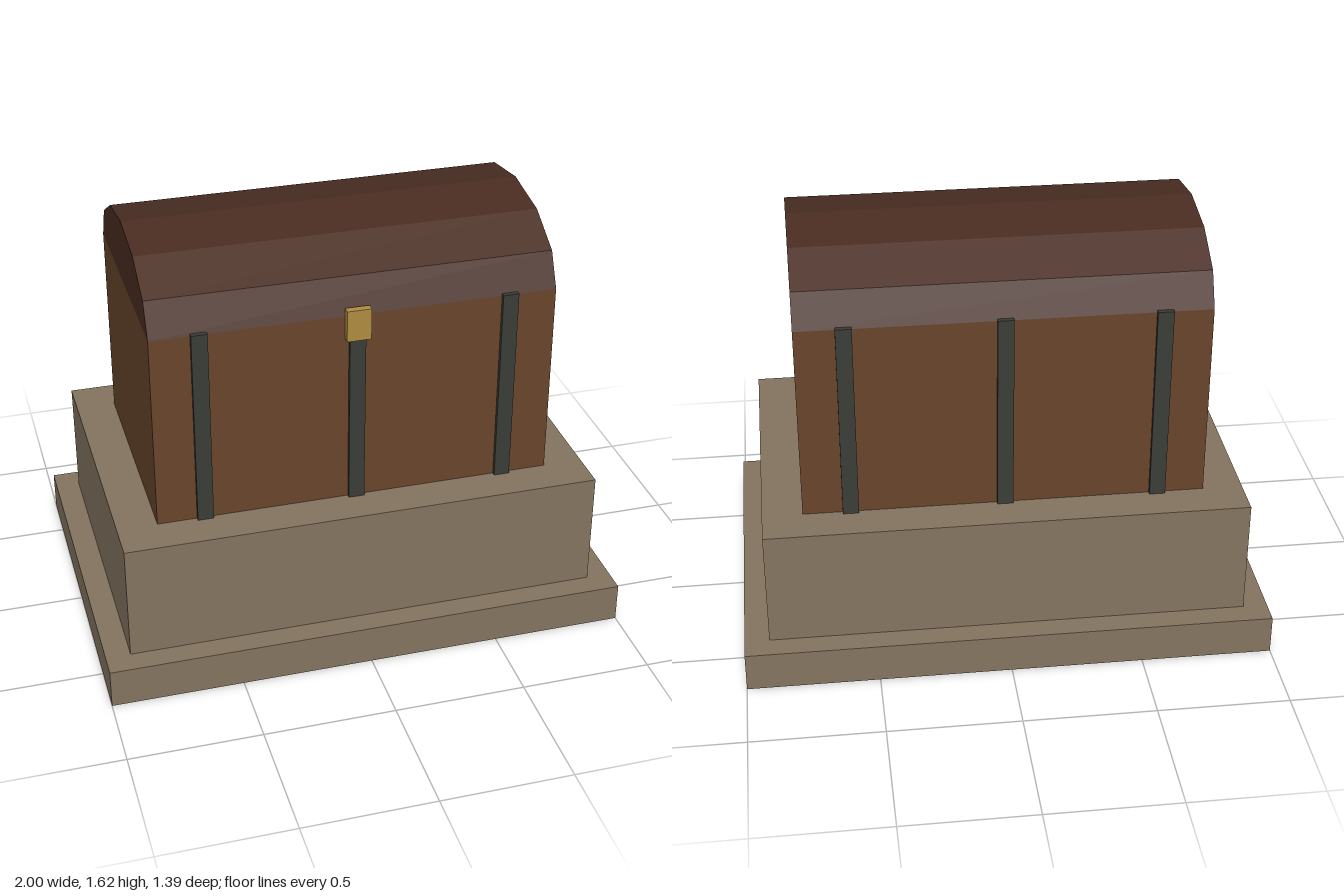
import * as THREE from 'three';

export function createModel() {
  const model = new THREE.Group();
  model.name = 'chestOnPlinth';

  const material = (name, color) => {
    const m = new THREE.MeshStandardMaterial({ color });
    m.name = name;
    return m;
  };
  const stone = material('stone', 0x857560);
  const wood = material('wood', 0x69452c);
  const darkWood = material('darkWood', 0x4a2d22);
  const iron = material('iron', 0x3a3d37);
  const brass = material('brass', 0xb08d42);

  // Box standing on height y
  const box = (name, mat, w, h, d, x, y, z) => {
    const mesh = new THREE.Mesh(new THREE.BoxGeometry(w, h, d), mat);
    mesh.name = name;
    mesh.position.set(x, y + h / 2, z);
    model.add(mesh);
  };

  // Stepped stone plinth
  box('plinthBase', stone, 2, 0.152, 1.39, 0, 0, 0);
  box('plinthBlock', stone, 1.814, 0.453, 1.21, 0, 0.152, 0);

  // Chest body
  const width = 1.512, halfDepth = 0.454, floor = 0.605, rim = 1.365;
  box('chestBody', wood, width, rim - floor, halfDepth * 2, 0, floor, 0);

  // Faceted barrel lid: half ellipse in six segments, swept along x
  const profile = [];
  for (let i = 0; i <= 6; i++) {
    const a = (i / 6) * Math.PI;
    profile.push(new THREE.Vector2(halfDepth * Math.cos(a), 0.254 * Math.sin(a)));
  }
  const lidGeometry = new THREE.ExtrudeGeometry(new THREE.Shape(profile), {
    depth: width, bevelEnabled: false,
  });
  lidGeometry.translate(0, 0, -width / 2).rotateY(Math.PI / 2);
  const lid = new THREE.Mesh(lidGeometry, darkWood);
  lid.name = 'lid';
  lid.position.y = rim;
  model.add(lid);

  // Iron straps, front and back
  for (const x of [-0.577, 0, 0.577]) {
    for (const side of [1, -1]) {
      box(side > 0 ? 'frontStrap' : 'backStrap', iron, 0.06, 0.767, 0.04, x, floor, side * 0.45);
    }
  }

  // Brass latch
  box('latch', brass, 0.091, 0.121, 0.03, 0, 1.275, 0.469);

  return model;
}
